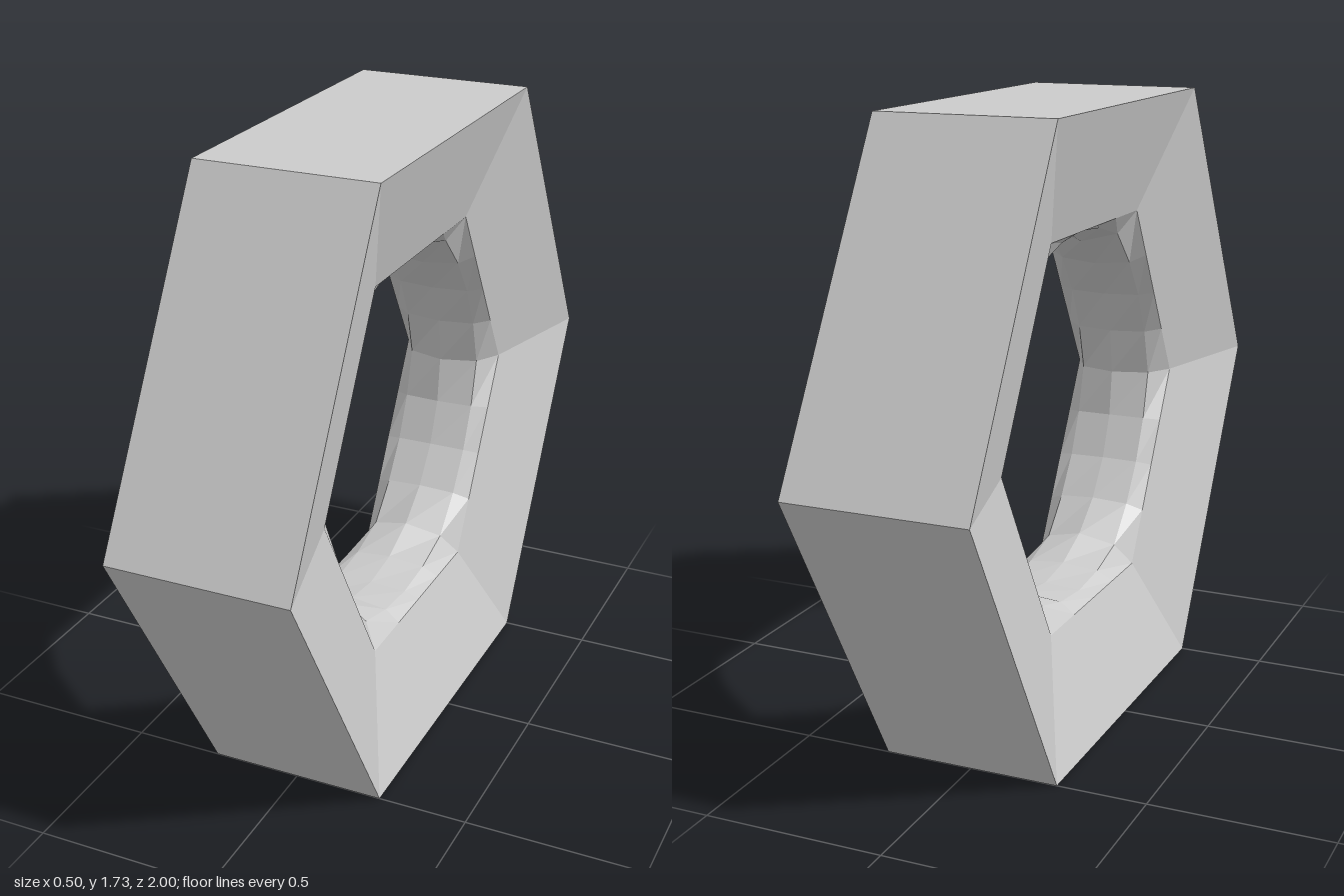
import * as THREE from 'three';

const SEGMENTS = 24;          // steps around the ring, four per hexagon side
const APOTHEM = Math.sqrt(3) / 2;
const HOLE = 0.51;            // radius of the round hole at its narrowest
const RIM = 0.615;            // corner radius of the inner hexagonal edge
const RIM_X = 0.15;           // half width at the inner hexagonal edge
const BANDS = 4;              // bands across the rounded bore

// Radius of a unit hexagon with a corner at angle 0
function hexRadius(angle) {
  const side = Math.PI / 3;
  return APOTHEM / Math.cos((angle % side) - side / 2);
}

// Closed cross-section at one angle, as [x, radius] pairs
function section(angle) {
  const hex = hexRadius(angle);
  const points = [[-0.25, hex], [0.25, hex]];
  // bore: hexagonal at both rims, swelling to a circle in the middle
  for (let k = 0; k <= BANDS; k++) {
    const t = (k / BANDS) * Math.PI;
    const rim = RIM * hex;
    points.push([RIM_X * Math.cos(t), rim + (HOLE - rim) * Math.sin(t)]);
  }
  return points;
}

function ringGeometry() {
  const positions = [];
  const index = [];
  const count = section(0).length;
  for (let i = 0; i < SEGMENTS; i++) {
    const angle = (i / SEGMENTS) * Math.PI * 2;
    for (const [x, r] of section(angle)) {
      positions.push(x, APOTHEM + r * Math.sin(angle), r * Math.cos(angle));
    }
    for (let j = 0; j < count; j++) {
      const next = ((i + 1) % SEGMENTS) * count;
      const a = i * count + j;
      const b = i * count + ((j + 1) % count);
      const c = next + ((j + 1) % count);
      const d = next + j;
      index.push(a, b, c, a, c, d);
    }
  }
  const geometry = new THREE.BufferGeometry();
  geometry.setAttribute('position', new THREE.Float32BufferAttribute(positions, 3));
  geometry.setIndex(index);
  const flat = geometry.toNonIndexed();
  flat.computeVertexNormals();
  return flat;
}

export function createModel() {
  const group = new THREE.Group();
  group.name = 'hexagonalNut';
  const material = new THREE.MeshStandardMaterial({ color: 0xcccccc, flatShading: true });
  const ring = new THREE.Mesh(ringGeometry(), material);
  ring.name = 'nutBody';
  group.add(ring);
  return group;
}
